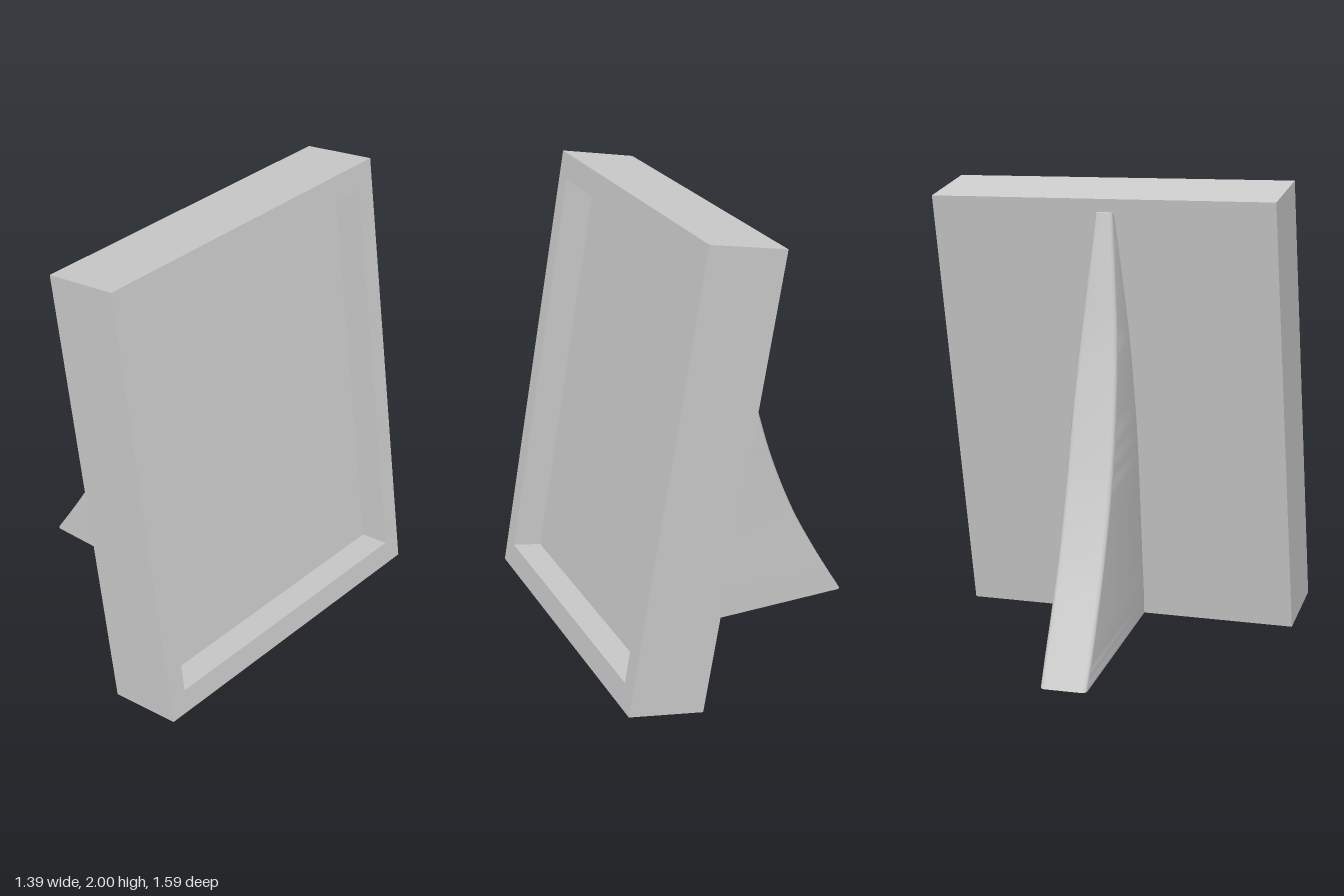
import * as THREE from 'three';
import { toCreasedNormals } from 'three/addons/utils/BufferGeometryUtils.js';

const material = new THREE.MeshStandardMaterial({ color: 0xcccccc });

function rectangle(PathType, w, h) {
  return new PathType().setFromPoints([
    [-w / 2, -h / 2], [w / 2, -h / 2], [w / 2, h / 2], [-w / 2, h / 2], [-w / 2, -h / 2],
  ].map(([x, y]) => new THREE.Vector2(x, y)));
}

// Deep picture frame with a recessed panel; local +z is the picture side
function createFrame() {
  const W = 1.515, H = 1.944, D = 0.33, recess = 0.13;
  const w = W - 0.17, h = H - 0.218;
  const frame = new THREE.Group();
  frame.name = 'pictureFrame';

  const shape = rectangle(THREE.Shape, W, H);
  shape.holes.push(rectangle(THREE.Path, w, h));
  const border = new THREE.Mesh(
    new THREE.ExtrudeGeometry(shape, { depth: D, bevelEnabled: false }).translate(0, 0, -D / 2), material);
  border.name = 'frameBorder';

  const panel = new THREE.Mesh(
    new THREE.BoxGeometry(w, h, D - recess).translate(0, 0, -recess / 2), material);
  panel.name = 'picturePanel';
  frame.add(border, panel);

  // Lean back and turn slightly, facing +x
  const right = new THREE.Vector3(0.066, -0.0165, -0.998).normalize();
  const up = new THREE.Vector3(-0.17, 0.985, -0.0275);
  up.addScaledVector(right, -up.dot(right)).normalize();
  const normal = new THREE.Vector3().crossVectors(right, up);
  frame.quaternion.setFromRotationMatrix(new THREE.Matrix4().makeBasis(right, up, normal));
  frame.position.set(0.314, 1.0025, 0.002);
  return frame;
}

// Curved easel leg: level cross-sections with a rounded rear edge, lofted upwards
function createStand() {
  // rear edge x, height y, half thickness z
  const spine = new THREE.CatmullRomCurve3([
    [-0.7, 0.02, 0.098], [-0.625, 0.14, 0.1], [-0.545, 0.275, 0.1], [-0.44, 0.47, 0.1],
    [-0.33, 0.735, 0.1], [-0.254, 0.984, 0.097], [-0.164, 1.344, 0.082],
    [-0.11, 1.645, 0.058], [-0.068, 1.88, 0.036],
  ].map((p) => new THREE.Vector3(...p)), false, 'centripetal');
  const rows = 40, arc = 5;
  const positions = [], index = [];
  let n = 0;

  for (let i = 0; i <= rows; i++) {
    const { x, y, z: half } = spine.getPoint(i / rows);
    const front = 0.275 - 0.168 * (y - 0.035);
    const r = Math.min(0.022, half * 0.4, (front - x) * 0.5);
    const ring = [[front, half]];
    for (const side of [1, -1]) {
      for (let k = 0; k <= arc; k++) {
        const a = (side > 0 ? k : arc - k) / arc * Math.PI / 2;
        ring.push([x + r - r * Math.sin(a), side * (half - r + r * Math.cos(a))]);
      }
    }
    ring.push([front, -half]);
    n = ring.length;
    for (const [px, pz] of ring) {
      // lift the underside gently towards the frame
      const lift = i === 0 ? 0.01 * Math.max(0, px / 0.275) : 0;
      positions.push(px, y + lift, pz);
    }
  }
  for (let i = 0; i < rows; i++) {
    for (let k = 0; k < n; k++) {
      const a = i * n + k, b = i * n + (k + 1) % n;
      index.push(a, a + n, b, b, a + n, b + n);
    }
  }
  // End caps
  const top = rows * n;
  for (let k = 1; k < n - 1; k++) {
    index.push(0, k, k + 1, top, top + k + 1, top + k);
  }
  const geometry = new THREE.BufferGeometry();
  geometry.setAttribute('position', new THREE.Float32BufferAttribute(positions, 3));
  geometry.setIndex(index);
  const outward = material.clone();
  outward.side = THREE.DoubleSide;
  const stand = new THREE.Mesh(toCreasedNormals(geometry, 0.6), outward);
  stand.name = 'easelStand';
  return stand;
}

export function createModel() {
  const model = new THREE.Group();
  model.name = 'standingPictureFrame';
  model.add(createFrame(), createStand());
  return model;
}
